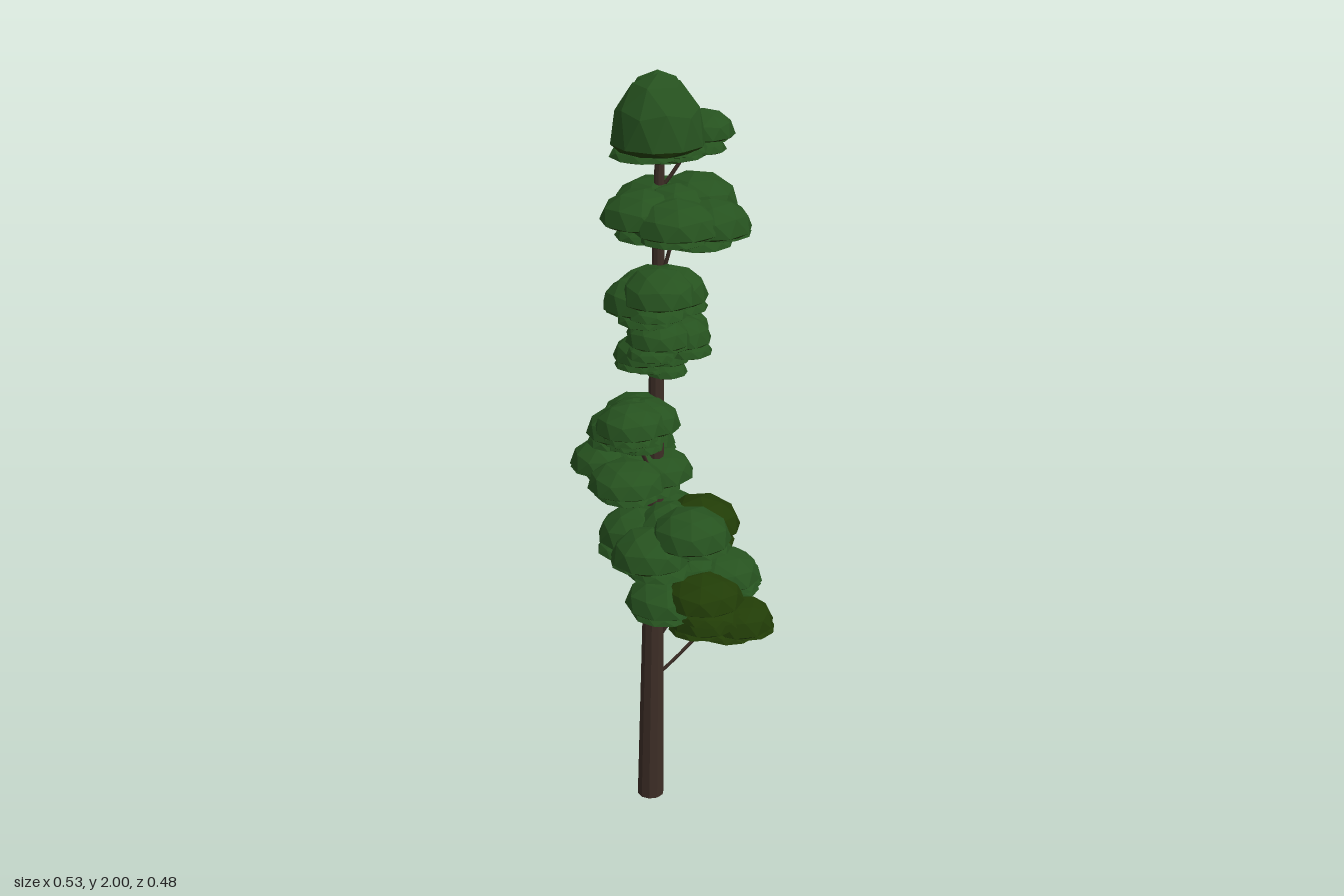
import * as THREE from 'three';

// trunk centre line and radius
const HEIGHT = 1.86;
const trunkPoint = (y) => new THREE.Vector3(-0.058 + 0.015 * y, y, 0.003 - 0.013 * y);
const trunkRadius = (y) => 0.036 - 0.0135 * y;

// each layer is an oval ring of pads climbing from low to high:
// centre x, z; ring half-width sx, sz; pad radius r and dome height h;
// n pads from a start angle, step degrees apart; olive lists the darker pads
const layers = [
  { x: 0.11, z: -0.06, sx: 0.065, sz: 0.075, r: 0.097, h: 0.07, low: 0.525, high: 0.60, n: 4, start: 20, step: 90, olive: [0, 1] },
  { x: 0.045, z: 0, sx: 0.08, sz: 0.09, r: 0.108, h: 0.07, low: 0.63, high: 0.71, n: 5, start: 130, step: -72, olive: [1] },
  { x: 0, z: 0.055, sx: 0.085, sz: 0.09, r: 0.103, h: 0.08, low: 0.79, high: 0.84, n: 5, start: 117, step: 72, olive: [3] },
  { x: -0.105, z: -0.03, sx: 0.06, sz: 0.11, r: 0.1, h: 0.065, low: 0.95, high: 0.985, n: 4, start: 0, step: 90, olive: [] },
  { x: -0.085, z: 0.095, sx: 0.03, sz: 0.06, r: 0.088, h: 0.065, low: 1.115, high: 1.15, n: 4, start: -180, step: 90, olive: [] },
  { x: -0.02, z: 0, sx: 0.045, sz: 0.1, r: 0.08, h: 0.06, low: 1.29, high: 1.36, n: 5, start: -195, step: 72, olive: [] },
  { x: -0.03, z: 0.09, sx: 0.035, sz: 0.035, r: 0.095, h: 0.075, low: 1.45, high: 1.475, n: 4, start: -200, step: 90, olive: [] },
  { x: 0.01, z: 0, sx: 0.08, sz: 0.07, r: 0.108, h: 0.075, low: 1.62, high: 1.66, n: 5, start: 12, step: 72, olive: [] },
];

// tall domes of the crown: x, base y, z, radius, dome height
const crownPads = [
  [-0.025, 1.84, 0.065, 0.114, 0.16],
  [-0.04, 1.845, -0.06, 0.092, 0.135],
  [0.07, 1.835, -0.04, 0.078, 0.06],
  [-0.01, 1.815, 0, 0.1, 0.05],
];

// faceted dome with a ten-sided rim; group 0 is the top, group 1 the nearly flat underside
function domeGeometry() {
  const ball = new THREE.IcosahedronGeometry(1, 1);
  ball.rotateZ(Math.atan(2 / (1 + Math.sqrt(5))));
  const p = ball.attributes.position;
  const top = [];
  const under = [];
  for (let i = 0; i < p.count; i += 3) {
    const isTop = p.getY(i) + p.getY(i + 1) + p.getY(i + 2) > 0;
    for (let k = i; k < i + 3; k++) {
      const y = p.getY(k) * (isTop ? 1 : 0.18);
      (isTop ? top : under).push(p.getX(k), y, p.getZ(k));
    }
  }
  const geometry = new THREE.BufferGeometry();
  geometry.setAttribute('position', new THREE.Float32BufferAttribute(top.concat(under), 3));
  geometry.addGroup(0, top.length / 3, 0);
  geometry.addGroup(top.length / 3, under.length / 3, 1);
  geometry.computeVertexNormals();
  return geometry;
}

// leaning, tapered trunk with flat sides
function trunkGeometry() {
  const geometry = new THREE.CylinderGeometry(trunkRadius(HEIGHT), trunkRadius(0), HEIGHT, 10, 6).toNonIndexed();
  geometry.translate(0, HEIGHT / 2, 0);
  const p = geometry.attributes.position;
  for (let i = 0; i < p.count; i++) {
    const c = trunkPoint(p.getY(i));
    p.setXYZ(i, p.getX(i) + c.x, p.getY(i), p.getZ(i) + c.z);
  }
  geometry.computeVertexNormals();
  return geometry;
}

export function createModel() {
  const tree = new THREE.Group();
  tree.name = 'tree';
  const material = (name, color) => {
    const m = new THREE.MeshStandardMaterial({ color });
    m.name = name;
    return m;
  };
  const bark = material('bark', 0x3d2e26);
  const green = material('leafGreen', 0x26521f);
  const olive = material('leafOlive', 0x213c07);
  const greenPad = [green, olive];
  const olivePad = [olive, olive];
  const dome = domeGeometry();

  function add(geometry, mat, name, parent) {
    const mesh = new THREE.Mesh(geometry, mat);
    mesh.name = name;
    parent.add(mesh);
    return mesh;
  }

  function addLayer(name) {
    const layer = new THREE.Group();
    layer.name = name;
    tree.add(layer);
    return layer;
  }

  // one dome with two thinner tiers under it for the layered rim
  function addPad(layer, leaf, turn, x, y, z, r, h) {
    const pad = add(dome, leaf, 'leafPad', layer);
    pad.position.set(x, y, z);
    pad.scale.set(r, h, r);
    pad.rotation.y = turn;
    for (let k = 0; k < 2; k++) {
      const a = turn + k * Math.PI;
      const tier = add(dome, leaf, 'lowerTier', layer);
      tier.position.set(x + Math.cos(a) * r * 0.25, y - 0.016 * (k + 1), z + Math.sin(a) * r * 0.25);
      tier.scale.set(r * 0.78, 0.03, r * 0.78);
      tier.rotation.y = a;
    }
  }

  // thin sagging branch from the trunk up to a layer
  function addBranch(layer, fromY, x, y, z) {
    const start = trunkPoint(fromY);
    const end = new THREE.Vector3(x, y, z);
    const bend = start.clone().lerp(end, 0.5);
    bend.y -= 0.015;
    const curve = new THREE.QuadraticBezierCurve3(start, bend, end);
    add(new THREE.TubeGeometry(curve, 5, 0.005, 5), bark, 'branch', layer);
  }

  add(trunkGeometry(), bark, 'trunk', tree);

  layers.forEach((l, index) => {
    const layer = addLayer('leafLayer');
    const spin = index * 1.7;
    for (let i = 0; i < l.n; i++) {
      const a = THREE.MathUtils.degToRad(l.start + i * l.step);
      const x = l.x + l.sx * Math.cos(a);
      const z = l.z + l.sz * Math.sin(a);
      const y = THREE.MathUtils.lerp(l.low, l.high, i / (l.n - 1));
      addPad(layer, l.olive.includes(i) ? olivePad : greenPad, spin + i * 2.4, x, y, z, l.r, l.h);
    }
    // pads filling the middle of the ring, above and below
    const middle = THREE.MathUtils.lerp(l.low, l.high, 0.7);
    addPad(layer, greenPad, spin + 1, l.x, middle, l.z, l.r * 0.85, l.h);
    addPad(layer, greenPad, spin + 2, l.x, l.low - 0.012, l.z, l.r * 0.85, 0.04);
    addBranch(layer, l.low - 0.17, l.x, l.low, l.z);
  });

  const crown = addLayer('crown');
  crownPads.forEach(([x, y, z, r, h], i) => addPad(crown, greenPad, i * 2.4, x, y, z, r, h));
  addBranch(crown, 1.7, 0.04, 1.81, -0.03);

  return tree;
}
